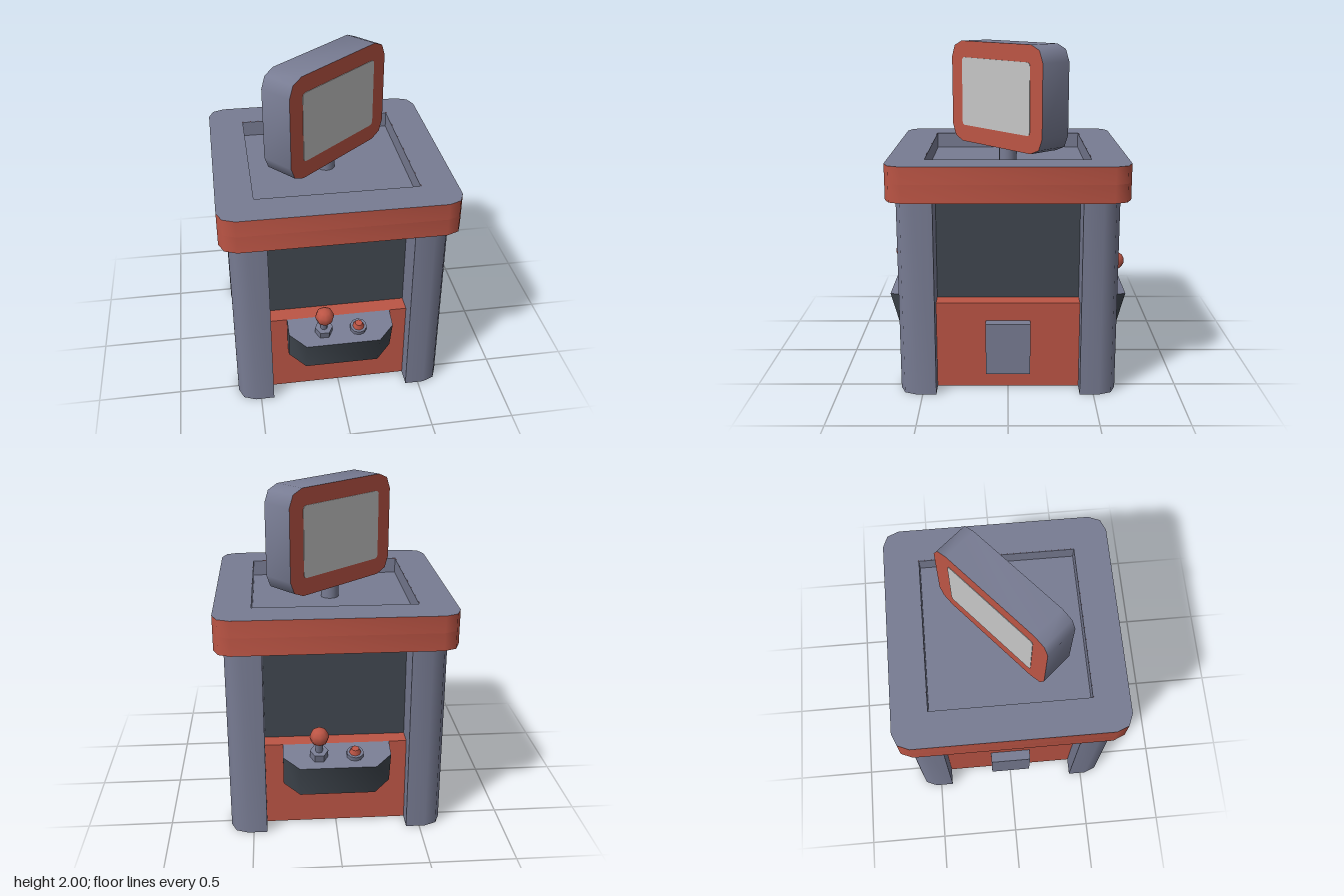
import * as THREE from 'three';
import { toCreasedNormals } from 'three/addons/utils/BufferGeometryUtils.js';

const material = (name, color) => {
  const m = new THREE.MeshStandardMaterial({ color });
  m.name = name;
  return m;
};

// rectangle with corners cut round in two steps
function roundedRect(w, h, r) {
  const x = w / 2 - r, y = h / 2 - r, q = Math.PI / 2;
  const s = new THREE.Shape();
  s.absarc(x, y, r, 0, q);
  s.absarc(-x, y, r, q, 2 * q);
  s.absarc(-x, -y, r, 2 * q, 3 * q);
  s.absarc(x, -y, r, 3 * q, 4 * q);
  s.closePath();
  return s;
}

const extrude = (shape, depth) => toCreasedNormals(
  new THREE.ExtrudeGeometry(shape, { depth, bevelEnabled: false, curveSegments: 1 }), 0.9);

// extrusion standing upright: shape y becomes -z
const extrudeUp = (shape, height) => extrude(shape, height).rotateX(-Math.PI / 2);

export function createModel() {
  const slate = material('slate grey', 0x787c93);
  const red = material('brick red', 0xbc5545);
  const dark = material('dark glass', 0x40474f);
  const pale = material('screen grey', 0xc6c6c6);

  const model = new THREE.Group();
  model.name = 'arcadeCabinet';

  const add = (parent, name, geometry, mat, x = 0, y = 0, z = 0) => {
    const mesh = new THREE.Mesh(geometry, mat);
    mesh.name = name;
    mesh.position.set(x, y, z);
    parent.add(mesh);
    return mesh;
  };

  // lower body and window block
  add(model, 'base', new THREE.BoxGeometry(1.06, 0.525, 1.06), red, 0, 0.2675, 0);
  add(model, 'windows', new THREE.BoxGeometry(0.86, 0.66, 0.86), dark, 0, 0.845, 0);

  // four corner pillars, rounded on the outer edge
  const corner = new THREE.Shape();
  corner.moveTo(0.42, 0.42);
  corner.lineTo(0.635, 0.42);
  corner.absarc(0.535, 0.535, 0.1, 0, Math.PI / 2);
  corner.lineTo(0.42, 0.635);
  corner.closePath();
  const pillar = extrudeUp(corner, 1.17);
  for (let i = 0; i < 4; i++) {
    add(model, 'pillar', pillar, slate).rotation.y = i * Math.PI / 2;
  }

  // roof: solid slab, rim with a square recess, grey lining
  add(model, 'roofSlab', extrudeUp(roundedRect(1.375, 1.375, 0.1), 0.105), red, 0, 1.165, 0);
  const rim = roundedRect(1.375, 1.375, 0.1);
  const h = 0.478;
  rim.holes.push(new THREE.Path([[-h, -h], [-h, h], [h, h], [h, -h]].map(p => new THREE.Vector2(...p))));
  add(model, 'roofRim', extrudeUp(rim, 0.1), [slate, red], 0, 1.27, 0);
  add(model, 'roofFloor', new THREE.BoxGeometry(0.955, 0.006, 0.955), slate, 0, 1.271, 0);
  for (let i = 0; i < 4; i++) {
    const wall = new THREE.BoxGeometry(0.955, 0.099, 0.004).translate(0, 1.32, 0.476);
    add(model, 'recessWall', wall, slate).rotation.y = i * Math.PI / 2;
  }

  // turned sign on a short pole, with a screen on both faces
  add(model, 'signPole', new THREE.CylinderGeometry(0.055, 0.055, 0.13, 16), slate, 0, 1.335, 0);
  const sign = new THREE.Group();
  sign.name = 'sign';
  sign.position.y = 1.685;
  sign.rotation.y = 0.714;
  model.add(sign);
  add(sign, 'signCase', extrude(roundedRect(0.84, 0.63, 0.1), 0.21), [red, slate], 0, 0, -0.105);
  const screen = extrude(roundedRect(0.63, 0.425, 0.02), 0.004);
  add(sign, 'screen', screen, pale, 0, 0.002, 0.104);
  add(sign, 'screen', screen, pale, 0, 0.002, -0.108);

  // tilted control desk plan, local z runs outward
  const plan = new THREE.Shape([[-0.315, 0], [-0.315, -0.11], [-0.22, -0.207], [0.22, -0.207],
    [0.315, -0.11], [0.315, 0]].map(p => new THREE.Vector2(...p)));
  const desk = extrudeUp(plan, 0.207);
  const underside = extrudeUp(plan, 0.004);

  // desk and side door, repeated on the opposite sides
  for (let i = 0; i < 2; i++) {
    const half = new THREE.Group();
    half.name = i ? 'backHalf' : 'frontHalf';
    half.rotation.y = i * Math.PI;
    model.add(half);

    const controls = new THREE.Group();
    controls.name = 'controls';
    controls.position.set(0, 0.53, 0.53);
    controls.rotation.x = 0.268;
    half.add(controls);
    add(controls, 'desk', desk, [slate, dark], 0, -0.207, 0);
    add(controls, 'deskUnderside', underside, red, 0, -0.21, 0);

    // joystick
    const hex = toCreasedNormals(new THREE.CylinderGeometry(0.053, 0.053, 0.05, 6), 0.5).rotateY(Math.PI / 6);
    add(controls, 'joystickBase', hex, slate, -0.107, 0.023, 0.107);
    add(controls, 'joystickStick', new THREE.CylinderGeometry(0.022, 0.022, 0.09, 8), slate, -0.107, 0.08, 0.107);
    add(controls, 'joystickBall', new THREE.SphereGeometry(0.056, 8, 6), red, -0.107, 0.157, 0.107);

    // push button
    add(controls, 'buttonRing', new THREE.CylinderGeometry(0.05, 0.05, 0.03, 10), slate, 0.103, 0.012, 0.107);
    add(controls, 'buttonCap', new THREE.CylinderGeometry(0.022, 0.036, 0.03, 8), red, 0.103, 0.04, 0.107);

    add(half, 'sideDoor', new THREE.BoxGeometry(0.09, 0.31, 0.26), slate, 0.55, 0.267, 0);
  }

  return model;
}
